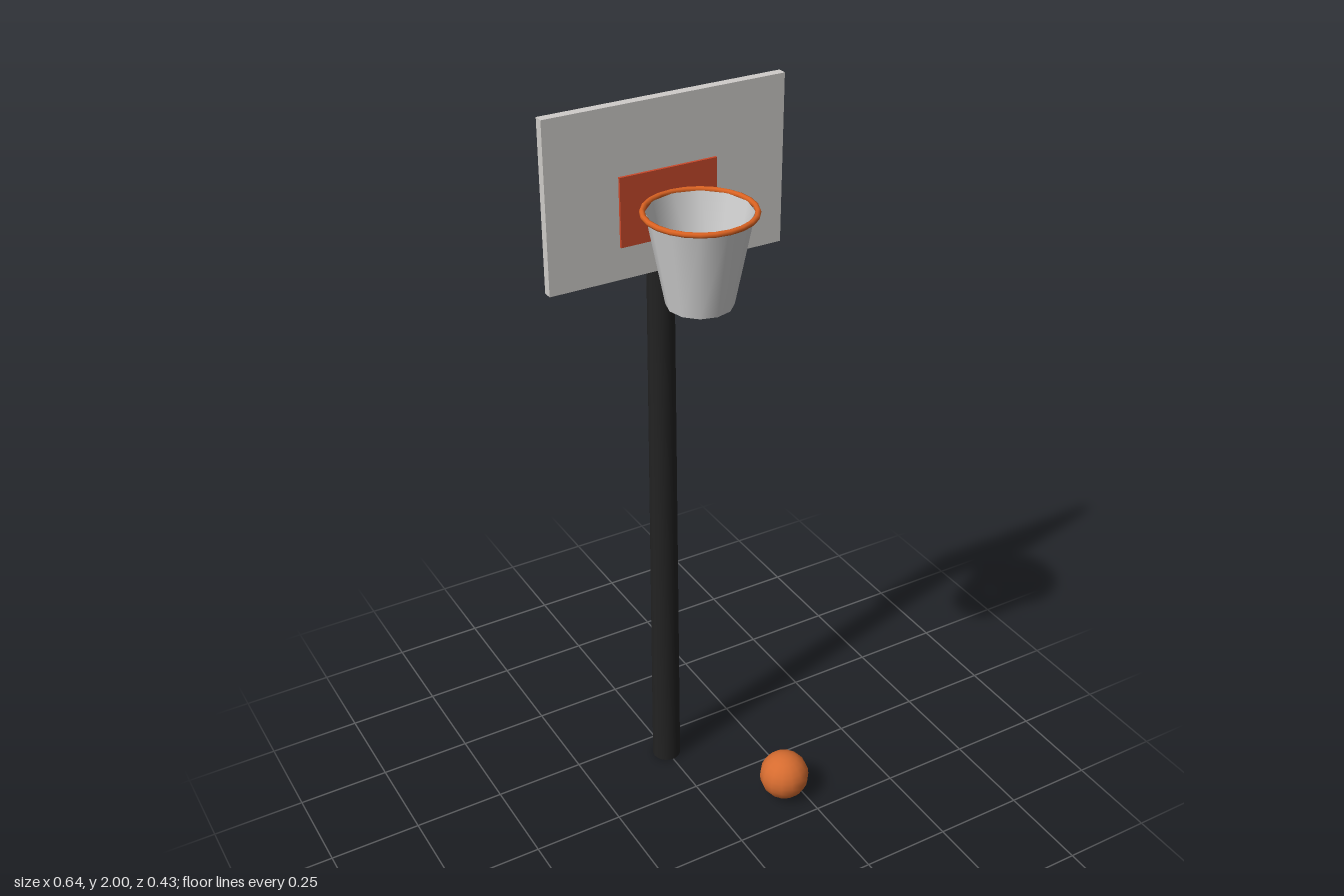
import * as THREE from 'three';

const material = (name, color, side = THREE.FrontSide) => {
  const m = new THREE.MeshStandardMaterial({ color, side });
  m.name = name;
  return m;
};

export function createModel() {
  const group = new THREE.Group();
  group.name = 'basketballHoop';

  const black = material('pole black', 0x222222);
  const boardGrey = material('board grey', 0xcfccc9);
  const red = material('target red', 0xc8492b);
  const rimOrange = material('rim orange', 0xdb6322);
  const netGrey = material('net grey', 0xd2d2d2, THREE.DoubleSide);
  const ballOrange = material('ball orange', 0xd66c30);

  const add = (name, geometry, mat, x, y, z) => {
    const mesh = new THREE.Mesh(geometry, mat);
    mesh.name = name;
    mesh.position.set(x, y, z);
    group.add(mesh);
    return mesh;
  };

  // Slightly tapered pole standing behind the board
  add('pole', new THREE.CylinderGeometry(0.034, 0.04, 1.77, 20), black, 0, 0.885, -0.175);

  // Backboard with the target plate on its front
  add('backboard', new THREE.BoxGeometry(0.636, 0.43, 0.024), boardGrey, 0, 1.785, -0.146);
  add('target', new THREE.BoxGeometry(0.26, 0.175, 0.008), red, 0, 1.742, -0.131);

  // Rim ring and the open tapered net hanging from it
  const hoopZ = 0.017;
  const rim = add('rim', new THREE.TorusGeometry(0.133, 0.007, 8, 24), rimOrange, 0, 1.773, hoopZ);
  rim.rotation.x = Math.PI / 2;
  add('net', new THREE.CylinderGeometry(0.127, 0.082, 0.232, 12, 1, true), netGrey, 0, 1.656, hoopZ);

  // Ball resting on the ground
  add('ball', new THREE.SphereGeometry(0.069, 14, 12), ballOrange, 0.203, 0.069, 0.145);

  return group;
}
